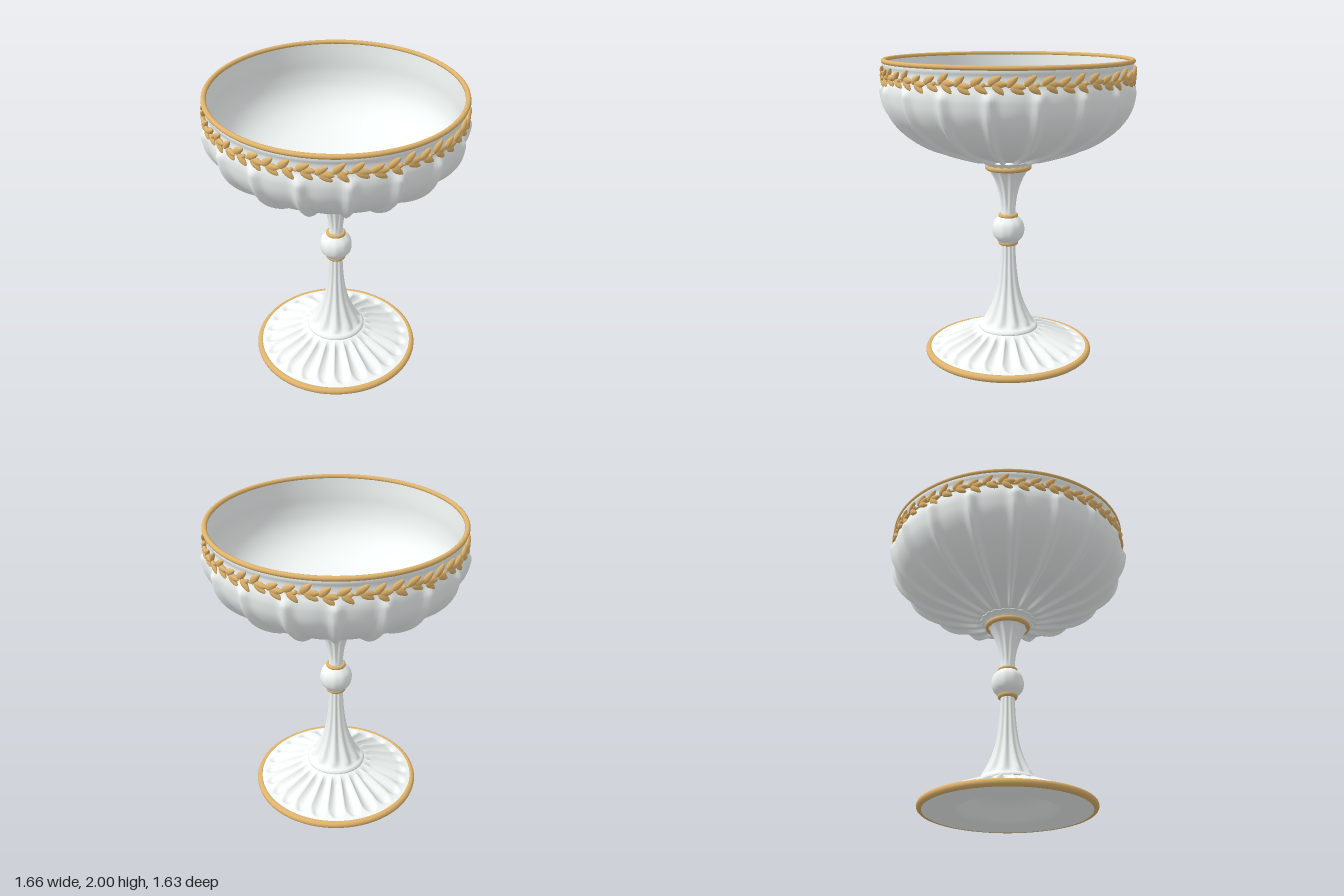
import * as THREE from 'three';
import { mergeVertices, mergeGeometries } from 'three/addons/utils/BufferGeometryUtils.js';

const white = new THREE.MeshStandardMaterial({ color: 0xf3f8f7 });
const gold = new THREE.MeshStandardMaterial({ color: 0xdfb36c });
const smooth = THREE.MathUtils.smoothstep;

// Lathe through smooth [radius, height] points; relief(angle, r, y) gives [outward, upward] offsets
function turned(name, profile, rows, segments, relief) {
  const curve = new THREE.SplineCurve(profile.map(([r, y]) => new THREE.Vector2(r, y)));
  let geo = new THREE.LatheGeometry(curve.getPoints(rows), segments);
  geo.deleteAttribute('uv');
  geo.deleteAttribute('normal');
  geo = mergeVertices(geo, 1e-5);
  if (relief) {
    const p = geo.attributes.position;
    for (let i = 0; i < p.count; i++) {
      const x = p.getX(i), y = p.getY(i), z = p.getZ(i);
      const a = Math.atan2(x, z), r = Math.hypot(x, z);
      const [out, up] = relief(a, r, y);
      p.setXYZ(i, (r + out) * Math.sin(a), y + up, (r + out) * Math.cos(a));
    }
  }
  geo.computeVertexNormals();
  const mesh = new THREE.Mesh(geo, white);
  mesh.name = name;
  return mesh;
}

function goldRing(name, radius, y, tube, height = tube) {
  const geo = new THREE.TorusGeometry(radius, tube, 12, 96);
  geo.rotateX(Math.PI / 2).scale(1, height / tube, 1);
  const mesh = new THREE.Mesh(geo, gold);
  mesh.name = name;
  mesh.position.y = y;
  return mesh;
}

// Eighteen rounded ribs, raised square to the curve of the bowl
function bowlRelief(a, r, y) {
  const c = Math.cos(9 * a);
  const fade = smooth(r, 0.14, 0.25) * (1 - smooth(y, 1.8, 1.87));
  const height = fade * (0.034 * Math.exp(-((c / 0.36) ** 2)) + 0.008 * Math.abs(c) - 0.01);
  const n = new THREE.Vector2(r / 0.64, Math.min(0, y - 1.8) / 0.2).normalize();
  return [height * n.x, height * n.y];
}

// Scooped petals with narrow ridges between them and rounded outer ends
function petalRelief(a, r) {
  const scoop = Math.abs(Math.cos(12 * a));
  const end = r + 0.045 * (1 - scoop);
  const depth = smooth(r, 0.2, 0.27) * (1 - smooth(end, 0.465, 0.515));
  return [0, depth * (0.012 - 0.036 * scoop ** 0.8)];
}

// Wreath of paired leaves, berries and a vine around the bowl
function makeWreath() {
  const parts = [];
  const count = 50, radius = 0.8;
  const leaf = new THREE.SphereGeometry(1, 10, 6);
  leaf.rotateZ(-Math.PI / 2);
  const p = leaf.attributes.position;
  for (let i = 0; i < p.count; i++) {
    const x = p.getX(i), taper = 1 - 0.35 * x;
    p.setXYZ(i, x * 0.044 + 0.034, p.getY(i) * 0.021 * taper, p.getZ(i) * 0.015);
  }
  leaf.computeVertexNormals();
  const berry = new THREE.SphereGeometry(0.014, 8, 6);
  const place = (geo, tilt, y, angle) =>
    parts.push(geo.clone().rotateZ(tilt).translate(0, y, radius).rotateY(angle));
  for (let i = 0; i < count; i++) {
    const a = (i / count) * Math.PI * 2;
    const wave = 0.008 * Math.sin(i * 2.1);
    place(leaf, 0.62 + 0.15 * Math.sin(i * 1.7), 1.897 + wave, a);
    place(leaf, -0.62 + 0.15 * Math.cos(i * 2.3), 1.887 + wave, a + 0.03);
    if (i % 3) place(leaf, 0.1 * Math.sin(i * 3.1), 1.89 + wave, a + 0.03);
    else place(berry, 0, 1.892 + wave, a + 0.08);
  }
  parts.push(new THREE.TorusGeometry(radius - 0.006, 0.007, 6, 120)
    .rotateX(Math.PI / 2).translate(0, 1.89, 0));
  const mesh = new THREE.Mesh(mergeGeometries(parts), gold);
  mesh.name = 'leafWreath';
  return mesh;
}

export function createModel() {
  const group = new THREE.Group();

  // Ribbed bowl with a smooth lining and gilded rim
  group.add(turned('bowl', [[0.13, 1.338], [0.2, 1.352], [0.38, 1.405], [0.53, 1.46],
    [0.65, 1.535], [0.733, 1.615], [0.783, 1.7], [0.802, 1.78], [0.802, 1.83], [0.79, 1.88],
    [0.788, 1.93], [0.797, 1.96], [0.797, 1.99]], 56, 18 * 16, bowlRelief));
  group.add(turned('bowlLining', [[0.778, 1.99], [0.77, 1.88], [0.765, 1.77], [0.735, 1.66],
    [0.66, 1.56], [0.53, 1.48], [0.33, 1.425], [0.15, 1.405], [0, 1.4]], 36, 120));
  group.add(goldRing('rimBand', 0.79, 1.985, 0.016, 0.015));
  group.add(makeWreath());

  // Scalloped collar under the bowl
  group.add(turned('collar', [[0.14, 1.295], [0.148, 1.31], [0.165, 1.325], [0.182, 1.338],
    [0.13, 1.352]], 14, 144, (a) => [0.006 * Math.cos(18 * a), 0]));
  group.add(goldRing('collarBand', 0.136, 1.29, 0.018));

  // Fluted upper stem
  group.add(turned('upperStem', [[0.05, 0.95], [0.047, 1.03], [0.06, 1.12], [0.085, 1.2],
    [0.115, 1.26], [0.138, 1.29]], 24, 120,
  (a, r, y) => [0.065 * r * Math.cos(10 * a) * smooth(y, 0.97, 1.05), 0]));

  // Ball knop between two bands
  group.add(turned('knop', [[0.05, 0.77], [0.07, 0.79], [0.098, 0.825], [0.107, 0.87],
    [0.098, 0.915], [0.07, 0.95], [0.05, 0.965]], 24, 80,
  (a, r) => [0.01 * r * Math.cos(10 * a), 0]));
  group.add(goldRing('upperKnopBand', 0.053, 0.963, 0.013, 0.015));
  group.add(goldRing('lowerKnopBand', 0.053, 0.776, 0.013, 0.015));

  // Fluted lower stem flaring into a small moulding
  group.add(turned('lowerStem', [[0.185, 0.165], [0.2, 0.185], [0.192, 0.204], [0.165, 0.225],
    [0.125, 0.295], [0.09, 0.385], [0.067, 0.48], [0.052, 0.6], [0.046, 0.7], [0.044, 0.78]],
  44, 120, (a, r, y) => [0.08 * r * Math.cos(10 * a) * smooth(y, 0.2, 0.25), 0]));

  // Foot: petalled slope, hollow underside and gilded edge
  group.add(turned('foot', [[0.545, 0.05], [0.5, 0.06], [0.42, 0.093], [0.33, 0.13],
    [0.25, 0.164], [0.18, 0.19]], 40, 24 * 12, petalRelief));
  group.add(turned('footUnderside', [[0, 0.125], [0.12, 0.122], [0.2, 0.095], [0.3, 0.025],
    [0.36, 0.008], [0.44, 0], [0.54, 0.01]], 30, 96));
  group.add(goldRing('footBand', 0.54, 0.031, 0.025, 0.024));
  return group;
}
